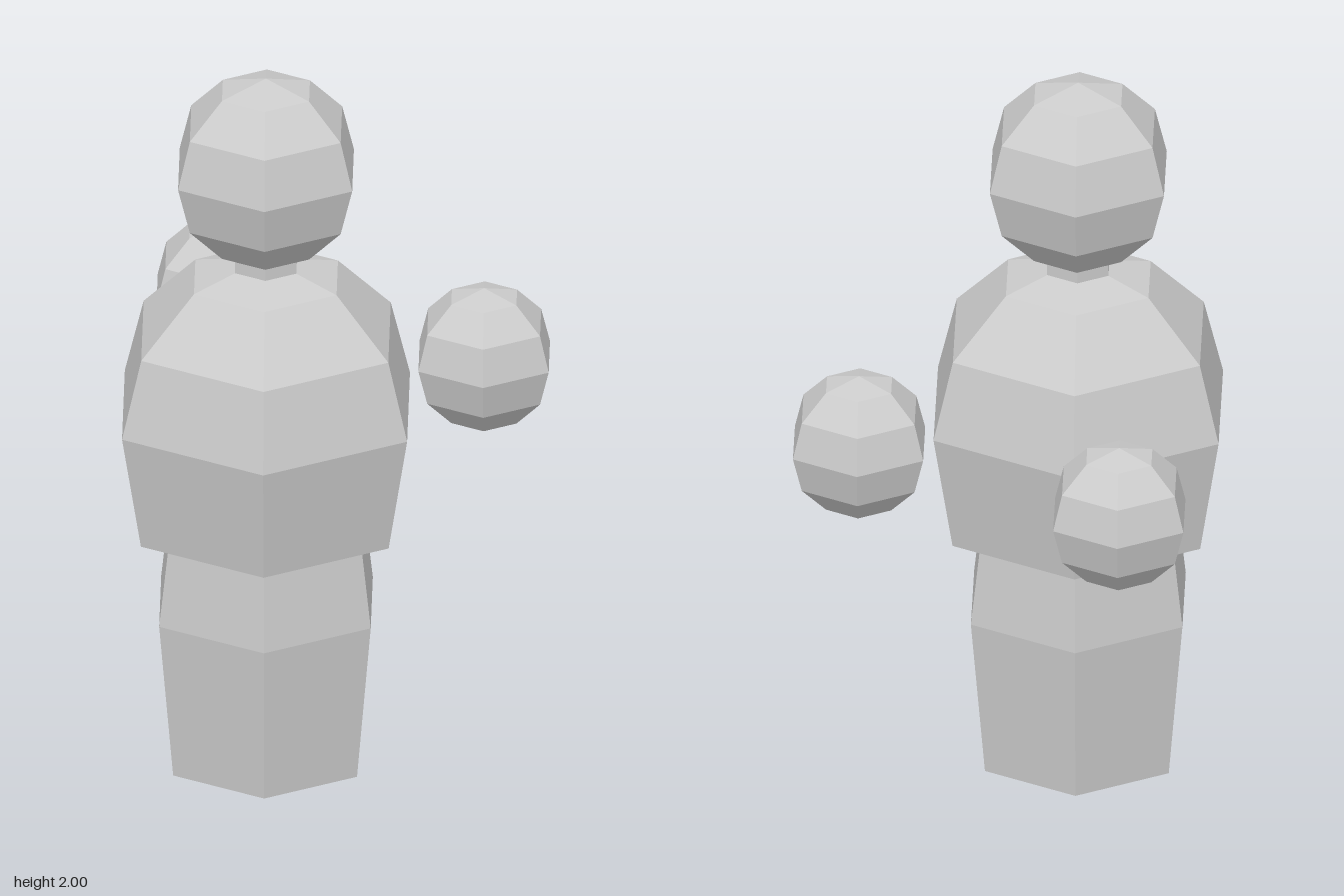
import * as THREE from 'three';

const SIDES = 6;
const material = new THREE.MeshStandardMaterial({ color: 0xcccccc, flatShading: true, side: THREE.DoubleSide });

function addPart(parent, name, geometry, x, y, z) {
  const mesh = new THREE.Mesh(geometry, material);
  mesh.name = name;
  mesh.position.set(x, y, z);
  parent.add(mesh);
}

// Six-sided shell from [radius, height] pairs, with corners on the x axis
function shell(profile) {
  const points = profile.map(([r, y]) => new THREE.Vector2(r, y));
  return new THREE.LatheGeometry(points, SIDES, Math.PI / 2);
}

const ball = (radius) => new THREE.SphereGeometry(radius, SIDES, 6);

export function createModel() {
  const model = new THREE.Group();
  model.name = 'figure';

  // Head, neck, torso and legs share one axis
  const figure = new THREE.Group();
  figure.name = 'body';
  figure.position.set(0.048, 0, 0.162);
  model.add(figure);

  // Legs: tapered tube, open underneath, running up inside the torso
  addPart(figure, 'legs', shell([[0.285, 0], [0.328, 0.45], [0.284, 0.8], [0.164, 0.9], [0, 0.94]]), 0, 0, 0);

  // Torso: domed shoulders over an open hem
  addPart(figure, 'torso', shell([[0.384, 0.7], [0.442, 1.03], [0.383, 1.25], [0.221, 1.411], [0, 1.47]]), 0, 0, 0);

  addPart(figure, 'neck', shell([[0.095, 1.4], [0.095, 1.52]]), 0, 0, 0);
  addPart(figure, 'head', ball(0.27), 0, 1.73, 0);

  // Floating hands behind the torso
  for (const [name, side] of [['leftHand', 1], ['rightHand', -1]]) {
    addPart(model, name, ball(0.202), side * 0.41, 1.05, -0.373);
  }

  return model;
}
